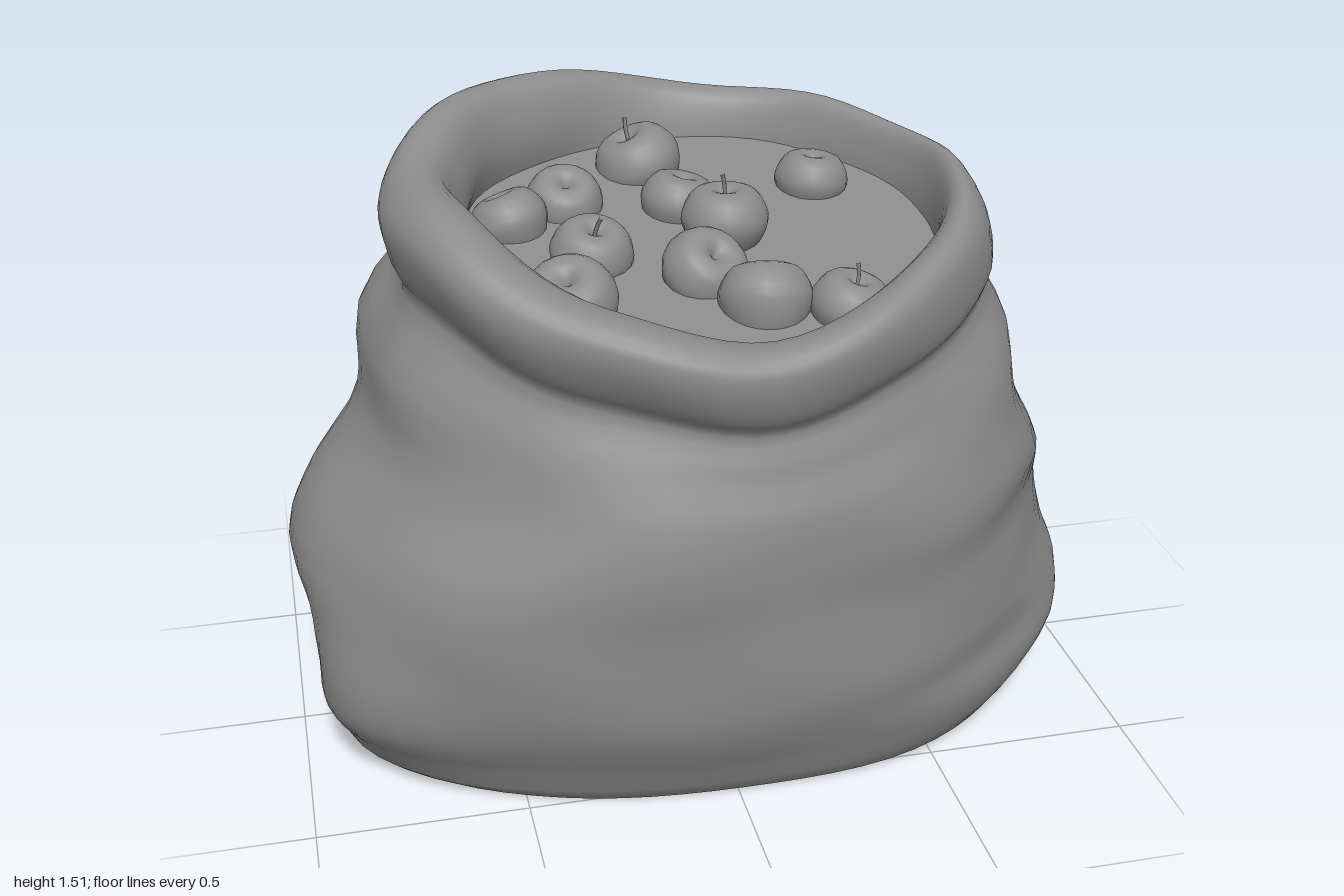
import * as THREE from 'three';

const V = (x, y) => new THREE.Vector2(x, y);

// Sack cross-sections from base to lip, then down inside:
// [height, share of the lip's slope, xMin, xMax, zMin, zMax]
const ROWS = [
  [0.025, 0, -0.82, 0.84, -0.59, 0.54],
  [0.07, 0, -0.90, 0.89, -0.68, 0.57],
  [0.18, 0, -0.945, 0.98, -0.635, 0.63],
  [0.28, 0, -0.95, 0.985, -0.68, 0.67],
  [0.40, 0, -0.97, 0.935, -0.695, 0.685],
  [0.54, 0, -0.995, 0.90, -0.69, 0.69],
  [0.69, 0.1, -0.925, 0.88, -0.65, 0.70],
  [0.85, 0.3, -0.795, 0.80, -0.61, 0.69],
  [1.00, 0.5, -0.775, 0.775, -0.585, 0.65],
  [1.13, 0.8, -0.69, 0.70, -0.555, 0.62],
  [1.20, 0.9, -0.71, 0.705, -0.56, 0.66],
  [1.29, 1, -0.73, 0.69, -0.58, 0.69],
  [1.35, 1, -0.70, 0.66, -0.575, 0.69],
  [1.378, 1, -0.65, 0.63, -0.545, 0.64],
  [1.355, 1, -0.58, 0.60, -0.49, 0.56],
  [1.25, 1, -0.54, 0.58, -0.46, 0.51],
  [1.12, 1, -0.54, 0.58, -0.46, 0.51],
];

// Lip height at every 30 degrees from +x toward +z
const LIP = [1.38, 1.34, 1.26, 1.205, 1.28, 1.40, 1.445, 1.49, 1.515, 1.45, 1.425, 1.405];

// Swell of the outline at the same angles, by height
const SWELL = [
  [0.05, [1, 1.05, 1.07, 1, 1.03, 1.07, 1, 1, 1.01, 1, 1.05, 1.07]],
  [0.25, [1, 0.96, 0.985, 1, 1.04, 1.09, 0.99, 0.98, 1.03, 1, 0.99, 0.98]],
  [0.60, [1, 0.99, 1, 1, 1.02, 1, 1, 1, 1.05, 1.01, 0.99, 1]],
  [1.00, [1, 1, 1, 1, 1, 1, 1, 1.09, 1.06, 1, 1.05, 1.08]],
  [1.25, [1, 1, 1, 1, 1, 1, 1, 0.98, 0.97, 1, 1, 1]],
];

// Creases pressed into the cloth: [angle, height, angular width, height width, depth]
const CREASES = [
  [0.85, 0.27, 0.4, 0.05, 0.02], [0.6, 0.6, 0.35, 0.07, 0.025], [1.3, 0.97, 0.45, 0.035, 0.02],
  [2.5, 0.75, 0.4, 0.08, 0.02], [5.5, 0.74, 0.5, 0.06, 0.02], [3.8, 0.78, 0.5, 0.06, 0.015],
  [5.2, 0.2, 0.5, 0.05, 0.015],
];

// Smooth interpolation through a list of numbers
function spline(list, t, closed) {
  const n = list.length, i = Math.floor(t), f = t - i;
  const at = k => list[closed ? (k + n) % n : Math.min(n - 1, Math.max(0, k))];
  const [a, b, c, d] = [at(i - 1), at(i), at(i + 1), at(i + 2)];
  return b + 0.5 * f * (c - a + f * (2 * a - 5 * b + 4 * c - d + f * (3 * (b - c) + d - a)));
}
const around = (list, a) => spline(list, a / (Math.PI * 2) * list.length, true);

// Blend of the swell outlines below and above a height
function swell(a, y) {
  let k = 0;
  while (k < SWELL.length - 2 && y > SWELL[k + 1][0]) k++;
  const [[y0, low], [y1, high]] = [SWELL[k], SWELL[k + 1]];
  return THREE.MathUtils.lerp(around(low, a), around(high, a), THREE.MathUtils.smoothstep(y, y0, y1));
}

// Soft fabric folds and creases, fading out at the base
function fold(a, y) {
  let f = 0.007 * Math.sin(5 * a + 6 * y) + 0.005 * Math.sin(9 * a - 11 * y);
  for (const [ca, cy, wa, wy, depth] of CREASES) {
    f -= depth * Math.exp(-(((a - ca) / wa) ** 2) - ((y - cy) / wy) ** 2);
  }
  return Math.min(1, y / 0.2) * f;
}

function sackPoint(row, a) {
  const [y, slope, x0, x1, z0, z1] = [0, 1, 2, 3, 4, 5].map(k => spline(ROWS.map(r => r[k]), row, false));
  const s = swell(a, y) + fold(a, y);
  const dip = y < 0.1 ? 0.02 * Math.max(0, Math.cos(a - 2.3)) : 0;
  const ripple = slope * 0.008 * Math.sin(7 * a + 1);
  return [(x0 + x1) / 2 + (x1 - x0) / 2 * Math.cos(a) * s,
    y + slope * (around(LIP, a) - 1.375) + ripple - dip,
    (z0 + z1) / 2 + (z1 - z0) / 2 * Math.sin(a) * s];
}

function meshData(positions, index) {
  const g = new THREE.BufferGeometry();
  g.setAttribute('position', new THREE.Float32BufferAttribute(positions, 3));
  g.setIndex(index);
  g.computeVertexNormals();
  return g;
}

export function createModel() {
  const model = new THREE.Group();
  model.name = 'sackOfApples';
  const grey = new THREE.MeshStandardMaterial({ color: 0x8c8c8c });
  grey.name = 'plain grey';
  const add = (parent, name, geometry) => {
    const m = new THREE.Mesh(geometry, grey);
    m.name = name;
    parent.add(m);
    return m;
  };

  // Sack cloth, wrapped around and folded over the lip
  const SEG = 72, STEPS = (ROWS.length - 1) * 3;
  const pos = [], idx = [];
  for (let j = 0; j <= STEPS; j++) {
    for (let i = 0; i < SEG; i++) pos.push(...sackPoint(j / 3, i / SEG * Math.PI * 2));
  }
  for (let j = 0; j < STEPS; j++) {
    for (let i = 0; i < SEG; i++) {
      const n = (i + 1) % SEG, a = j * SEG + i, b = j * SEG + n;
      idx.push(a, a + SEG, b, b, a + SEG, b + SEG);
    }
  }
  add(model, 'sackCloth', meshData(pos, idx));

  // Flat underside
  const basePos = [0, 0.02, 0, ...pos.slice(0, SEG * 3)], baseIdx = [];
  for (let i = 0; i < SEG; i++) baseIdx.push(0, 1 + i, 1 + (i + 1) % SEG);
  add(model, 'sackBase', meshData(basePos, baseIdx));

  // Sloping surface that the apples rest in
  const filling = add(model, 'filling', new THREE.CircleGeometry(1, 48));
  filling.scale.set(0.59, 0.52, 1);
  filling.rotation.x = -Math.PI / 2 + Math.atan(0.18);
  filling.position.set(0.02, 1.23, 0.02);

  // Apples with dimpled ends, and a few stems
  const outline = new THREE.SplineCurve([V(0, -0.72), V(0.2, -0.82), V(0.6, -0.66), V(0.92, -0.15),
    V(0.98, 0.25), V(0.75, 0.7), V(0.4, 0.82), V(0.15, 0.7), V(0, 0.5)]).getPoints(20);
  outline[0].x = outline[20].x = 0;
  const appleShape = new THREE.LatheGeometry(outline, 20);
  const stemShape = new THREE.TubeGeometry(new THREE.QuadraticBezierCurve3(
    new THREE.Vector3(0, 0.5, 0), new THREE.Vector3(0, 0.9, 0), new THREE.Vector3(0.15, 1.2, 0)), 6, 0.05, 6);
  const apples = [ // x, z, radius
    [-0.05, -0.33, 0.11], [-0.27, -0.17, 0.095], [-0.41, -0.09, 0.095], [-0.25, 0.08, 0.1],
    [-0.33, 0.27, 0.11], [0, -0.12, 0.095], [0.08, 0.03, 0.105], [-0.01, 0.19, 0.105],
    [0.1, 0.34, 0.11], [0.28, 0.39, 0.095], [0.35, -0.18, 0.092],
  ];
  apples.forEach(([x, z, r], i) => {
    const apple = new THREE.Group();
    apple.name = 'apple' + (i + 1);
    add(apple, 'appleBody', appleShape);
    if (i % 3 === 0) add(apple, 'appleStem', stemShape);
    apple.scale.setScalar(r);
    apple.position.set(x, 1.235 - 0.17 * z + (i === 6 ? 0.03 : 0), z);
    apple.rotation.set(0.4 * Math.sin(i * 2.1), i * 1.7, 0.4 * Math.cos(i * 1.3));
    model.add(apple);
  });
  return model;
}
